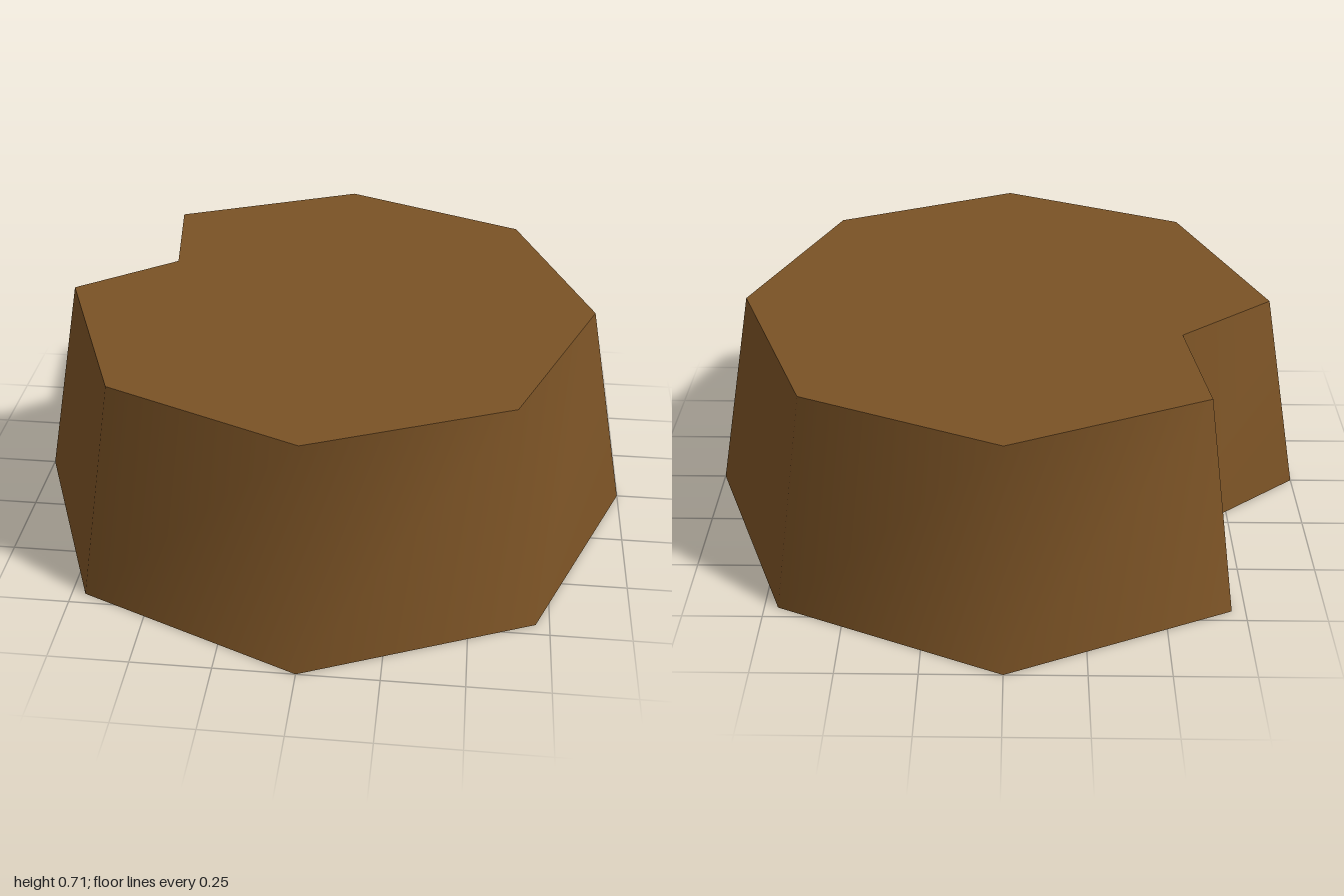
import * as THREE from 'three';

const HEIGHT = 0.715;
const TAPER = 0.857;

// Octagon outline with one notch cut into the back-right side
function outline() {
  const points = [];
  for (let i = 0; i < 8; i++) {
    const a = (i * Math.PI) / 4;
    points.push(new THREE.Vector2(Math.cos(a), Math.sin(a)));
    if (i === 4) {
      const n = a + Math.PI / 8;
      points.push(new THREE.Vector2(0.698 * Math.cos(n), 0.698 * Math.sin(n)));
    }
  }
  return points;
}

// Smooth tapered wall, open at the bottom
function wallGeometry(points) {
  const positions = [];
  const indices = [];
  const n = points.length;
  points.forEach((p, i) => {
    positions.push(p.x, 0, p.y, p.x * TAPER, HEIGHT, p.y * TAPER);
    const b = 2 * i;
    const nb = 2 * ((i + 1) % n);
    indices.push(b, b + 1, nb, b + 1, nb + 1, nb);
  });
  const g = new THREE.BufferGeometry();
  g.setAttribute('position', new THREE.Float32BufferAttribute(positions, 3));
  g.setIndex(indices);
  g.computeVertexNormals();
  return g;
}

export function createModel() {
  const group = new THREE.Group();
  group.name = 'notchedStump';
  const brown = new THREE.MeshStandardMaterial({ color: 0x7a5225 });
  brown.name = 'brown';
  brown.side = THREE.DoubleSide;

  const points = outline();
  const wall = new THREE.Mesh(wallGeometry(points), brown);
  wall.name = 'wall';

  // Flat lid closing the top
  const shape = new THREE.Shape(points.map((p) => new THREE.Vector2(p.x * TAPER, -p.y * TAPER)));
  const lid = new THREE.Mesh(new THREE.ShapeGeometry(shape).rotateX(-Math.PI / 2), brown);
  lid.position.y = HEIGHT;
  lid.name = 'topFace';

  group.add(wall, lid);
  return group;
}
